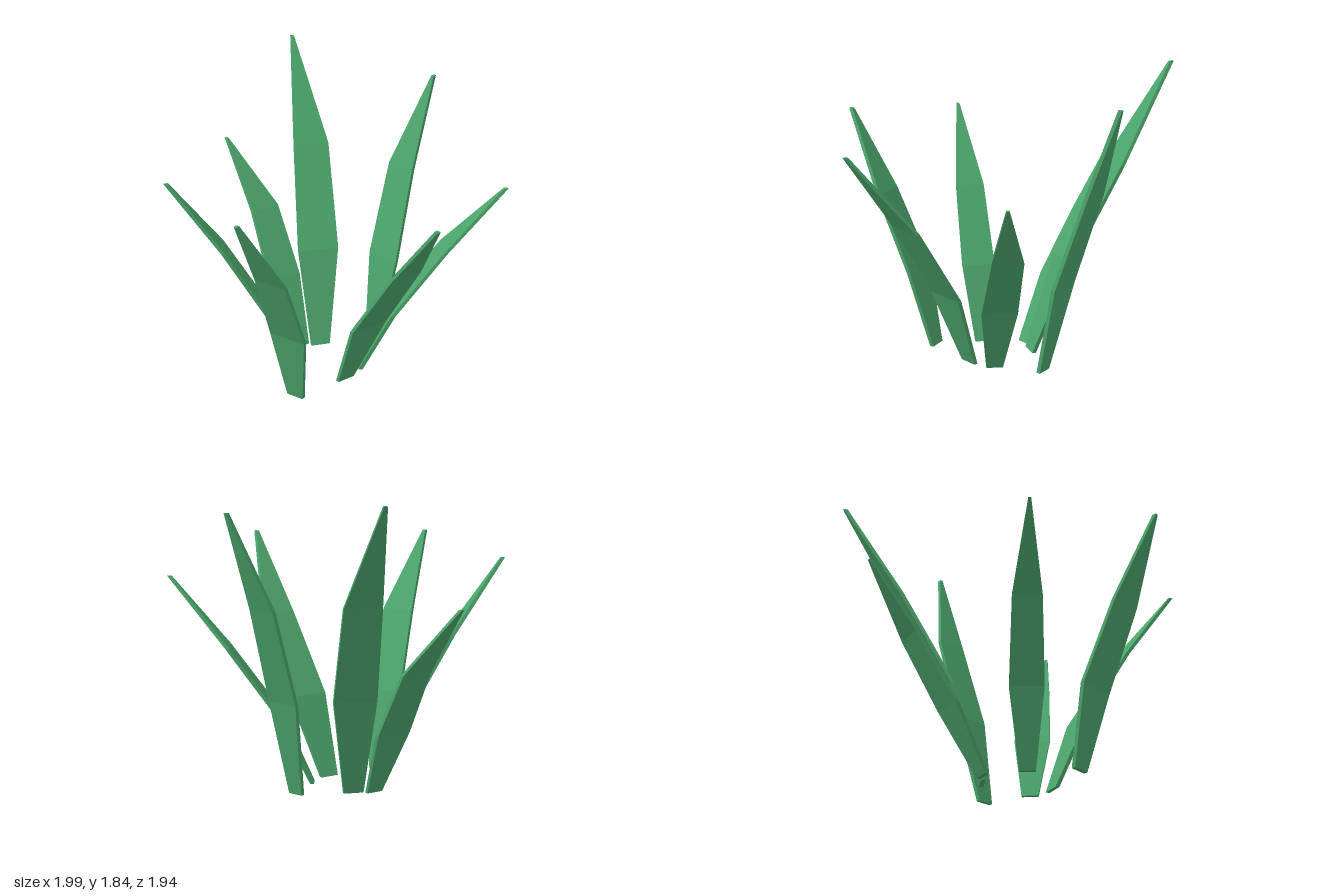
import * as THREE from 'three';

const THICKNESS = 0.026;
const WIDTHS = [0.465, 1, 0.86, 0.08]; // relative width from root to tip

// yaw: direction the blade leans; spine: x, z of its inner face at four even heights
const BLADES = [
  { name: 'frontBlade', yaw: -0.1, height: 1.51, width: 0.25,
    spine: [[-0.02, 0.345], [-0.01, 0.458], [-0.005, 0.672], [-0.068, 0.94]] },
  { name: 'frontRightBlade', yaw: -0.97, height: 1.41, width: 0.212,
    spine: [[-0.172, 0.09], [-0.31, 0.178], [-0.53, 0.33], [-0.793, 0.524]] },
  { name: 'backRightLowBlade', yaw: -2.06, height: 1.23, width: 0.232,
    spine: [[-0.25, -0.165], [-0.44, -0.287], [-0.655, -0.42], [-0.973, -0.497]] },
  { name: 'backRightTallBlade', yaw: -2.42, height: 1.84, width: 0.268,
    spine: [[-0.15, -0.237], [-0.255, -0.412], [-0.445, -0.68], [-0.717, -0.942]] },
  { name: 'backLeftTallBlade', yaw: 2.9, height: 1.76, width: 0.22,
    spine: [[0.13, -0.425], [0.143, -0.555], [0.17, -0.745], [0.29, -0.938]] },
  { name: 'backLeftLowBlade', yaw: 2.06, height: 1.31, width: 0.224,
    spine: [[0.18, -0.13], [0.355, -0.232], [0.628, -0.392], [0.967, -0.525]] },
  { name: 'frontLeftBlade', yaw: 1.1, height: 1.5, width: 0.264,
    spine: [[0.158, 0.037], [0.355, 0.11], [0.645, 0.237], [0.943, 0.472]] },
];

// Joins four flat rectangular cross-sections into one closed, faceted blade
function bladeGeometry({ yaw, height, width, spine }) {
  const out = new THREE.Vector3(Math.sin(yaw), 0, Math.cos(yaw)).multiplyScalar(THICKNESS);
  const side = new THREE.Vector3(Math.cos(yaw), 0, -Math.sin(yaw));
  const rings = spine.map(([x, z], i) => {
    const centre = new THREE.Vector3(x, (height * i) / 3, z);
    const half = (width * WIDTHS[i]) / 2;
    const a = centre.clone().addScaledVector(side, -half);
    const b = centre.clone().addScaledVector(side, half);
    return [a, b, b.clone().add(out), a.clone().add(out)];
  });

  const points = [];
  const quad = (a, b, c, d) => points.push(a, b, c, a, c, d);
  for (let i = 0; i < 3; i++) {
    for (let k = 0; k < 4; k++) {
      const n = (k + 1) % 4;
      quad(rings[i][k], rings[i + 1][k], rings[i + 1][n], rings[i][n]);
    }
  }
  quad(...rings[0]); // root
  quad(...[...rings[3]].reverse()); // tip

  const geometry = new THREE.BufferGeometry().setFromPoints(points);
  geometry.computeVertexNormals();
  return geometry;
}

export function createModel() {
  const leafGreen = new THREE.MeshStandardMaterial({ color: 0x4ca56c });
  leafGreen.name = 'leaf green';

  const plant = new THREE.Group();
  plant.name = 'grassTuft';
  for (const blade of BLADES) {
    const mesh = new THREE.Mesh(bladeGeometry(blade), leafGreen);
    mesh.name = blade.name;
    plant.add(mesh);
  }
  return plant;
}
